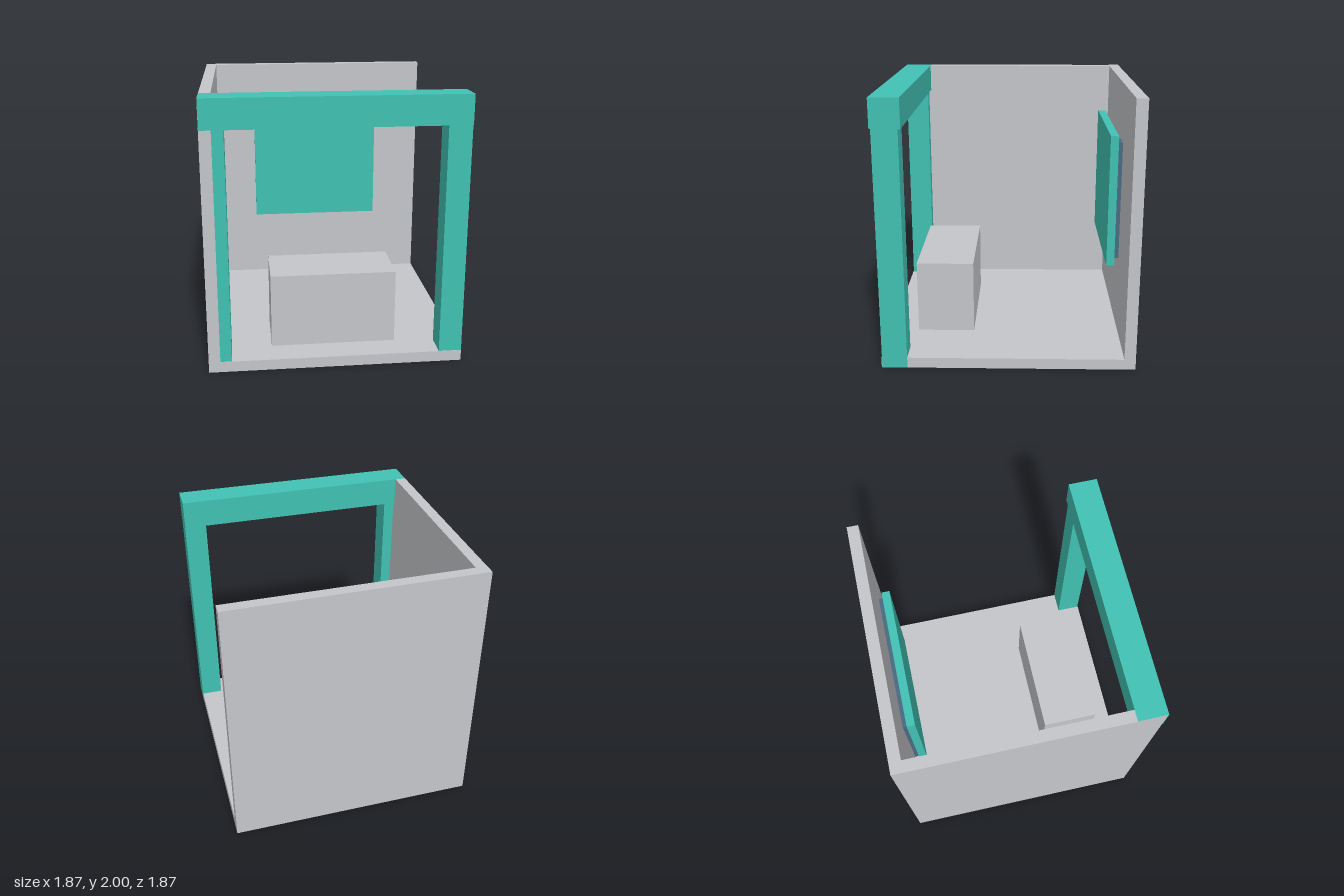
import * as THREE from 'three';

export function createModel() {
  const group = new THREE.Group();
  const grey = new THREE.MeshStandardMaterial({ name: 'light grey', color: 0xc5c6ca });
  const teal = new THREE.MeshStandardMaterial({ name: 'teal', color: 0x41c1b3 });
  const slate = new THREE.MeshStandardMaterial({ name: 'slate blue', color: 0x4a6a80 });

  // Box given by its extents along each axis
  const block = (name, material, [x0, x1], [y0, y1], [z0, z1]) => {
    const mesh = new THREE.Mesh(new THREE.BoxGeometry(x1 - x0, y1 - y0, z1 - z0), material);
    mesh.position.set((x0 + x1) / 2, (y0 + y1) / 2, (z0 + z1) / 2);
    mesh.name = name;
    group.add(mesh);
  };

  // Booth shell: floor, back wall and one side wall
  block('floor', grey, [-0.933, 0.932], [0, 0.08], [-0.937, 0.93]);
  block('backWall', grey, [-0.933, 0.932], [0.08, 2], [-0.937, -0.853]);
  block('sideWall', grey, [-0.933, -0.849], [0.08, 1.999], [-0.853, 0.93]);

  // Front frame: two posts and a header beam, set a hair off the shell faces
  block('rightPost', teal, [-0.932, -0.766], [-0.001, 1.785], [0.74, 0.926]);
  block('leftPost', teal, [0.764, 0.933], [-0.001, 1.785], [0.74, 0.926]);
  block('headerBeam', teal, [-0.932, 0.933], [1.785, 2], [0.722, 0.937]);

  // Counter standing on the floor
  block('counter', grey, [-0.468, 0.466], [0.08, 0.64], [0.277, 0.714]);

  // Display panel with its backing plate
  block('displayPanel', teal, [-0.534, 0.532], [0.66, 1.66], [-0.798, -0.738]);
  block('panelBacking', slate, [-0.514, 0.512], [0.715, 1.605], [-0.83, -0.798]);

  return group;
}
